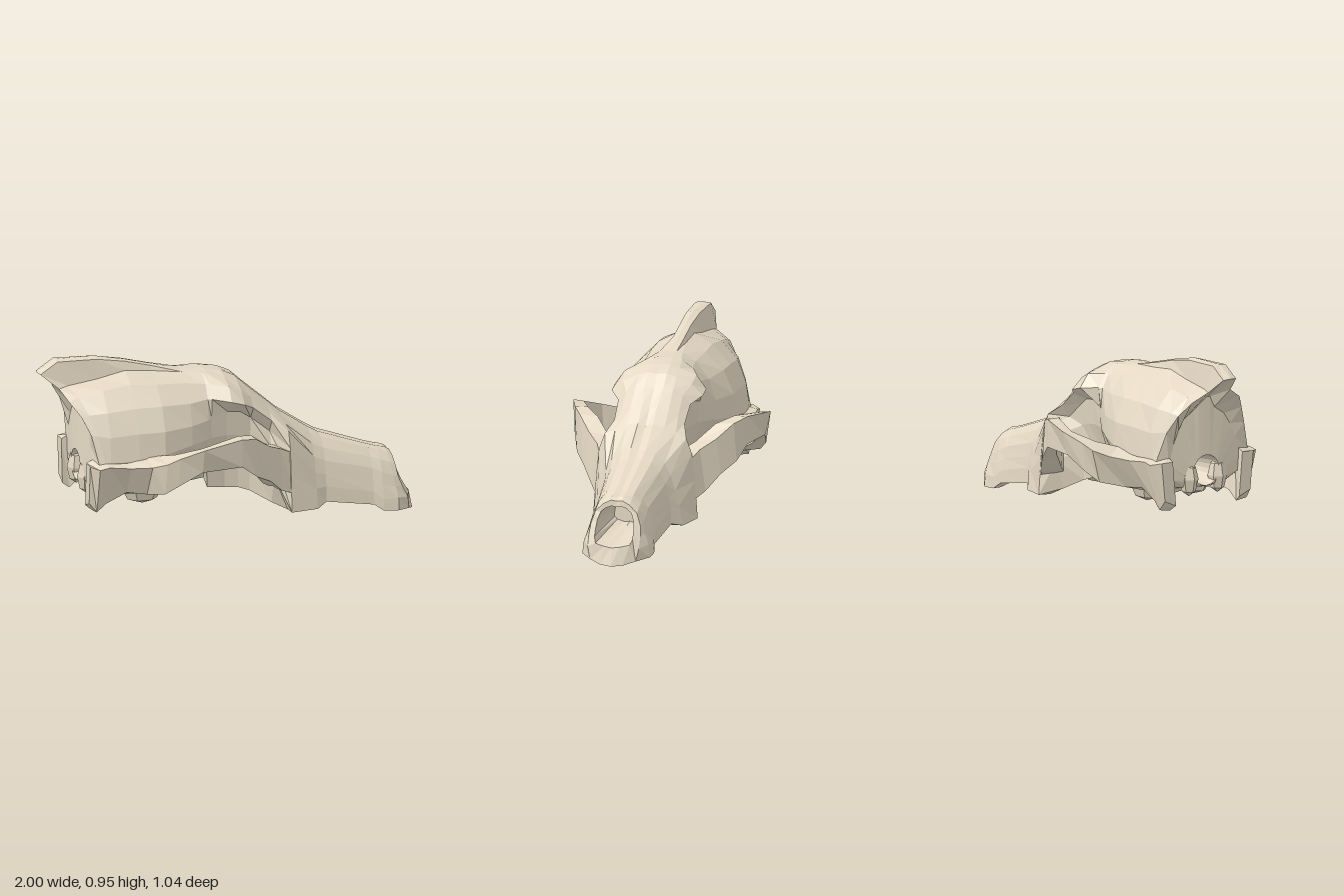
import * as THREE from 'three';

const bone = new THREE.MeshStandardMaterial({ color: 0xe4d8c3, flatShading: true, side: THREE.DoubleSide });

// Skin a series of closed rings of [x, y, z] points; both ends are capped.
function loft(name, rings) {
  const pos = [];
  const n = rings[0].length;
  const tri = (a, b, c) => pos.push(...a, ...b, ...c);
  const cap = (ring, flip) => {
    const mid = [0, 1, 2].map(k => ring.reduce((s, p) => s + p[k], 0) / n);
    ring.forEach((p, i) => {
      const q = ring[(i + 1) % n];
      flip ? tri(mid, q, p) : tri(mid, p, q);
    });
  };
  for (let r = 0; r < rings.length - 1; r++) {
    for (let i = 0; i < n; i++) {
      const j = (i + 1) % n, A = rings[r], B = rings[r + 1];
      tri(A[i], A[j], B[j]);
      tri(A[i], B[j], B[i]);
    }
  }
  cap(rings[0], false);
  cap(rings[rings.length - 1], true);
  const g = new THREE.BufferGeometry();
  g.setAttribute('position', new THREE.Float32BufferAttribute(pos, 3));
  g.computeVertexNormals();
  const mesh = new THREE.Mesh(g, bone);
  mesh.name = name;
  return mesh;
}

// Half section of [z, y, x?] points, top centre to bottom centre -> full mirrored ring.
function ring(x, half) {
  const left = half.map(([z, y, px = x]) => [px, y, z]);
  const right = left.slice(1, -1).reverse().map(([a, b, c]) => [a, b, -c]);
  return [...left, ...right];
}

// Rear edge of the skull: crest tip down to the base
const rearEdge = [[0, .89, -1], [.04, .885, -.99], [.07, .81, -.9], [.15, .76, -.87], [.2, .69, -.82],
  [.245, .6, -.78], [.29, .45, -.75], [.27, .36, -.74], [.15, .3, -.74], [0, .29, -.74]];
const foramen = (s, x) => rearEdge.map((_, i) => {
  const a = i / 9 * Math.PI;
  return [.08 * s * Math.sin(a), .38 + .08 * s * Math.cos(a), x];
});
const rim = foramen(1, -.79);
const occiput = rearEdge.map((p, i) => [p[0] * .7 + rim[i][0] * .3, p[1] * .7 + rim[i][1] * .3, -.77]);

// Braincase sections
const braincase = [
  [-.8, [[0, .95, -.9], [.04, .945, -.9], [.06, .82, -.85], [.14, .78, -.82], [.215, .7, -.78],
    [.26, .6, -.75], [.29, .46, -.72], [.27, .36, -.71], [.14, .29, -.71], [0, .285, -.71]]],
  [-.69, [[0, .95], [.035, .94], [.05, .84], [.15, .805], [.235, .71], [.28, .59], [.295, .46], [.26, .35], [.14, .26], [0, .28]]],
  [-.54, [[0, .92], [.03, .915], [.045, .87], [.14, .82], [.235, .72], [.29, .6], [.305, .46], [.26, .34], [.14, .24], [0, .28]]],
  [-.4, [[0, .885], [.03, .88], [.04, .855], [.14, .81], [.235, .72], [.29, .6], [.3, .48], [.25, .36], [.13, .22], [0, .27]]],
  [-.24, [[0, .845], [.03, .845], [.06, .84], [.13, .8], [.2, .71], [.235, .6], [.24, .5], [.19, .4], [.11, .27], [0, .3]]],
  [-.14, [[0, .84], [.03, .84], [.08, .835], [.14, .79], [.18, .72], [.19, .61], [.19, .51], [.15, .4], [.1, .28], [0, .32]]],
];
// Brow, eye sockets and the wings behind the palate
const brow = [
  [-.12, [[0, .84], [.04, .84], [.09, .83], [.15, .79], [.19, .72], [.18, .62], [.175, .51], [.14, .4], [.1, .225], [0, .33]]],
  [-.03, [[0, .825], [.05, .825], [.1, .81], [.19, .78], [.24, .71], [.16, .64], [.15, .51], [.12, .4], [.105, .22], [0, .33]]],
  [.04, [[0, .79], [.05, .795], [.1, .78], [.18, .745], [.24, .69], [.15, .63], [.14, .5], [.12, .4], [.11, .215], [0, .32]]],
  [.1, [[0, .735], [.05, .74], [.1, .73], [.15, .7], [.19, .655], [.14, .59], [.13, .48], [.13, .36], [.12, .195], [0, .3]]],
  [.2, [[0, .645], [.04, .655], [.1, .64], [.15, .61], [.185, .575], [.14, .51], [.18, .43], [.22, .29], [.18, .14], [0, .24]]],
];
// Snout, with an arched palate between the tooth ridges
const snout = [
  [.28, [[0, .57], [.04, .585], [.1, .57], [.16, .545], [.215, .52], [.245, .44], [.26, .3], [.275, .105], [.2, .1], [0, .2]]],
  [.43, [[0, .475], [.04, .485], [.09, .465], [.14, .42], [.17, .36], [.195, .28], [.215, .2], [.235, .1], [.17, .1], [0, .18]]],
  [.49, [[0, .445], [.035, .45], [.085, .435], [.13, .39], [.16, .33], [.175, .26], [.185, .2], [.19, .12], [.15, .12], [0, .17]]],
  [.75, [[0, .355], [.03, .36], [.07, .35], [.105, .31], [.135, .26], [.15, .2], [.165, .14], [.17, .075], [.12, .08], [0, .12]]],
  [.8, [[0, .34], [.03, .345], [.07, .335], [.11, .295], [.14, .235], [.16, .17], [.175, .1], [.18, .04], [.13, .04], [0, .08]]],
  [.88, [[0, .33, .845], [.03, .335, .845], [.07, .315, .85], [.11, .275, .855], [.135, .21, .86], [.15, .155, .87],
    [.17, .1], [.178, .035], [.125, .03], [0, .05]]],
];
// Nose opening: slanted rim, inner lip, then the passage going back
const nose = [
  [.9, [[0, .315, .865], [.03, .32, .87], [.07, .3, .875], [.11, .26, .88], [.13, .2, .89], [.135, .15, .91],
    [.135, .09, .94], [.12, .025, .95], [.06, .008, .985], [0, .003, 1]]],
  [.9, [[0, .285, .87], [.025, .29, .872], [.055, .28, .875], [.08, .26, .88], [.095, .22, .895], [.1, .175, .915],
    [.1, .14, .935], [.09, .11, .955], [.04, .1, .97], [0, .095, .975]]],
  [.6, [[0, .28], [.02, .28], [.045, .27], [.065, .25], [.075, .22], [.08, .19], [.08, .17], [.065, .155], [.03, .145], [0, .145]]],
];

// Cheek arch sections: inner top, outer top, outer bottom, inner bottom as z, y pairs
const arch = [
  [-.8, .22, .45, .29, .45, .27, .25, .2, .22],
  [-.76, .22, .47, .335, .44, .275, .2, .21, .19],
  [-.71, .24, .47, .335, .45, .27, .24, .2, .24],
  [-.6, .25, .47, .35, .44, .27, .29, .2, .26],
  [-.5, .28, .475, .4, .45, .3, .28, .2, .26],
  [-.44, .3, .48, .465, .48, .42, .31, .29, .29],
  [-.38, .4, .51, .485, .51, .465, .36, .39, .35],
  [-.26, .465, .55, .52, .555, .49, .43, .46, .42],
  [-.04, .385, .575, .455, .575, .455, .43, .4, .42],
  [.05, .31, .55, .405, .555, .42, .36, .33, .36],
  [.14, .23, .475, .335, .49, .36, .31, .23, .26],
  [.22, .17, .44, .27, .45, .3, .235, .15, .21],
  [.3, .1, .42, .235, .41, .255, .2, .1, .22],
];

export function createModel() {
  const skull = new THREE.Group();
  skull.name = 'animalSkull';

  const sections = [...braincase, ...brow, ...snout, ...nose].map(([x, h]) => ring(x, h));
  skull.add(loft('craniumAndSnout', [
    ring(0, foramen(.7, -.55)), ring(0, rim), ring(0, occiput), ring(0, rearEdge), ...sections,
  ]));

  for (const side of [1, -1]) {
    const rings = arch.map(([x, ...p]) => {
      const quad = [0, 2, 4, 6].map(k => [x, p[k + 1], side * p[k]]);
      return side > 0 ? quad : quad.reverse();
    });
    skull.add(loft(side > 0 ? 'leftCheekArch' : 'rightCheekArch', rings));

    // Ear chambers under the braincase and joints beside the rear opening
    const lump = (name, x, y, z, sx, sy, sz) => {
      const m = new THREE.Mesh(new THREE.SphereGeometry(1, 6, 4), bone);
      m.name = name;
      m.position.set(x, y, z * side);
      m.scale.set(sx, sy, sz);
      skull.add(m);
    };
    lump('earChamber', -.48, .27, .15, .11, .08, .07);
    lump('neckJoint', -.76, .34, .09, .05, .09, .05);
  }
  return skull;
}
